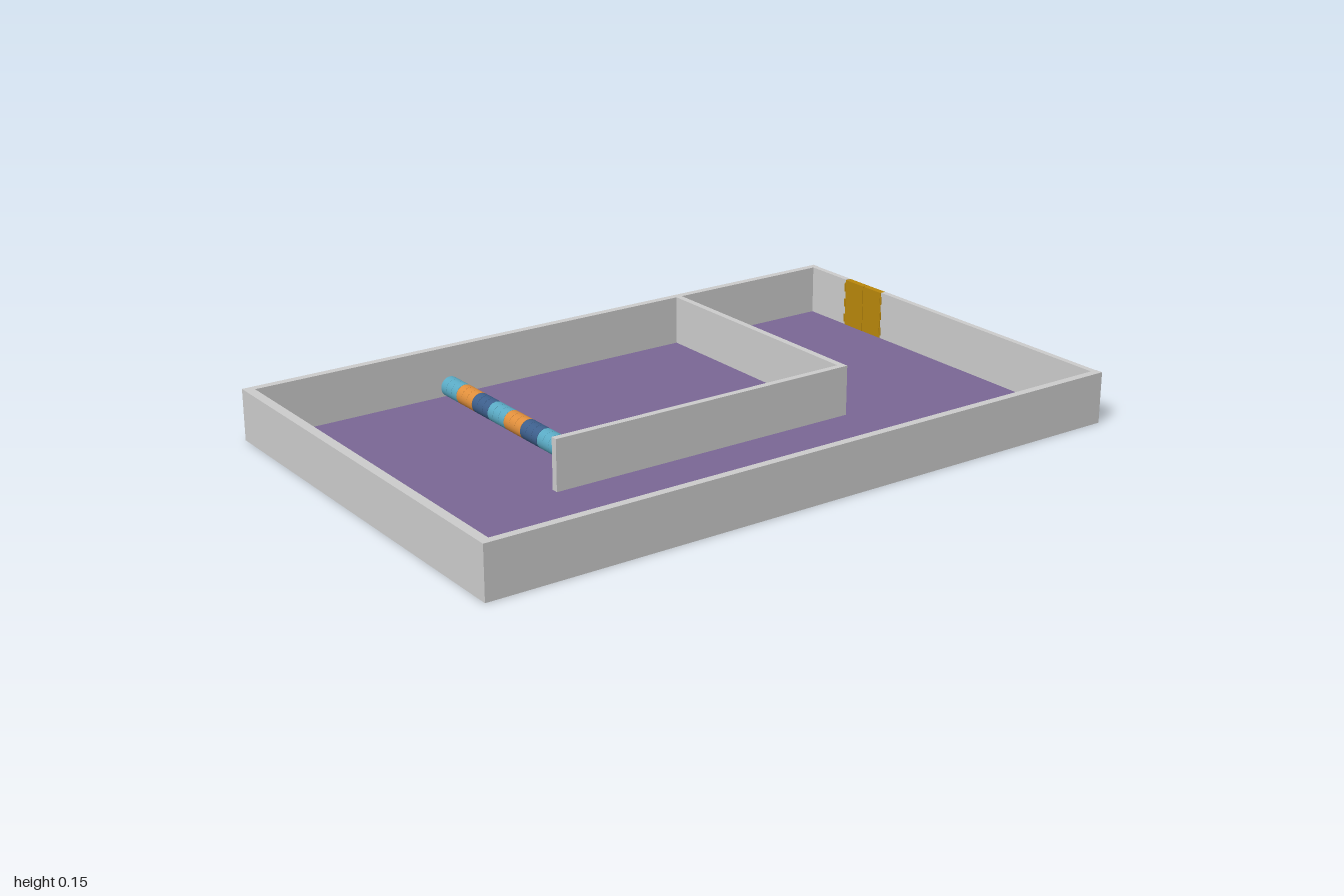
import * as THREE from 'three';

const mat = (name, color) => {
  const m = new THREE.MeshStandardMaterial({ color });
  m.name = name;
  return m;
};

export function createModel() {
  const model = new THREE.Group();
  model.name = 'walledPool';

  const wall = mat('wall grey', 0xcccccc);
  const floorMat = mat('floor purple', 0x7a6795);
  const gold = mat('door gold', 0xb8860b);
  const teal = mat('float teal', 0x5aaac4);
  const orange = mat('float orange', 0xe08f3c);
  const navy = mat('float navy', 0x3d5f8c);

  // Box given by its minimum and maximum corners
  const box = (name, material, [x0, y0, z0], [x1, y1, z1], parent = model) => {
    const mesh = new THREE.Mesh(new THREE.BoxGeometry(x1 - x0, y1 - y0, z1 - z0), material);
    mesh.position.set((x0 + x1) / 2, (y0 + y1) / 2, (z0 + z1) / 2);
    mesh.name = name;
    parent.add(mesh);
    return mesh;
  };

  const H = 0.15, X = 0.635, IN = 0.612;
  const doorL = -0.45, doorR = -0.28;

  // Floor
  box('floor', floorMat, [-IN, 0.001, -0.98], [IN, 0.003, 0.972]);

  // Outer walls, with an opening for the door at the back
  box('rightWall', wall, [-X, 0, -1], [-IN, H, 1]);
  box('leftWall', wall, [IN, 0, -1], [X, H, 1]);
  box('frontWall', wall, [-IN, 0, 0.972], [IN, H, 1]);
  box('backWallRight', wall, [-IN, 0, -0.998], [doorL, H, -0.98]);
  box('backWallLeft', wall, [doorR, 0, -0.998], [IN, H, -0.98]);

  // L-shaped inner wall
  box('innerCrossWall', wall, [-IN, 0, -0.46], [0.18, H, -0.44]);
  box('innerLongWall', wall, [0.16, 0, -0.44], [0.18, H, 0.51]);

  // Double door with hinges on the outer edges
  const door = new THREE.Group();
  door.name = 'doubleDoor';
  model.add(door);
  const mid = (doorL + doorR) / 2;
  box('doorLeafRight', gold, [doorL + 0.001, 0.001, -0.999], [mid - 0.001, H - 0.001, -0.979], door);
  box('doorLeafLeft', gold, [mid + 0.001, 0.001, -0.999], [doorR - 0.001, H - 0.001, -0.979], door);
  for (const x of [doorL, doorR]) {
    for (const y of [0.025, 0.075, 0.125]) {
      const hinge = new THREE.Mesh(new THREE.CylinderGeometry(0.003, 0.003, 0.025, 8), gold);
      hinge.position.set(x, y, -0.979);
      hinge.name = 'hinge';
      door.add(hinge);
    }
  }

  // Lane line: a row of discs, three of each colour in turn
  const lane = new THREE.Group();
  lane.name = 'laneLine';
  lane.position.set(0, 0.031, 0.366);
  model.add(lane);
  const start = -0.611, count = 27, pitch = (0.16 - start) / count;
  const disc = new THREE.CylinderGeometry(0.03, 0.03, pitch - 0.0008, 32).rotateZ(Math.PI / 2);
  const colours = [teal, orange, navy];
  for (let i = 0; i < count; i++) {
    const mesh = new THREE.Mesh(disc, colours[Math.floor(i / 3) % 3]);
    mesh.position.x = start + (i + 0.5) * pitch;
    mesh.name = 'float';
    lane.add(mesh);
  }

  return model;
}
